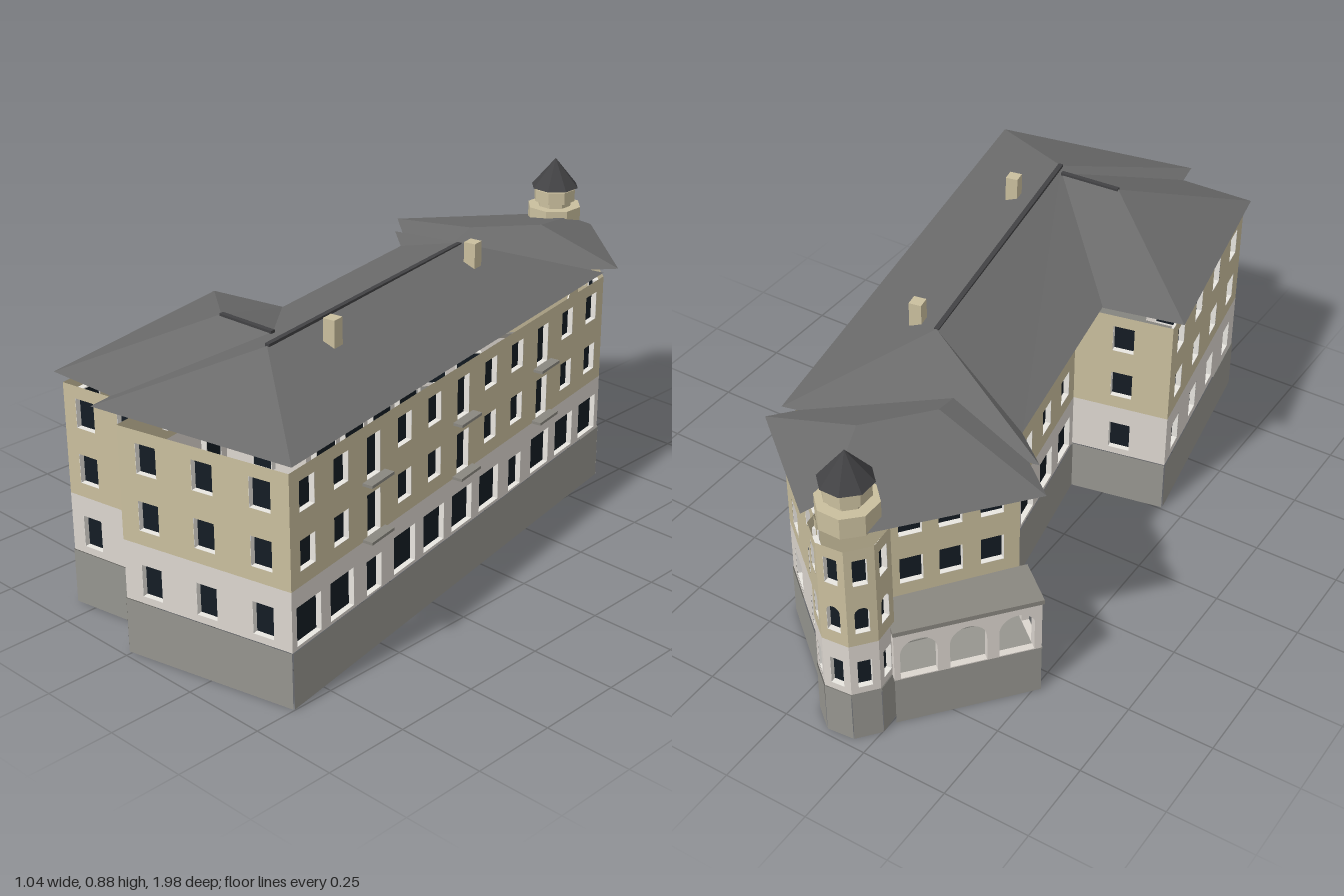
import * as THREE from 'three';

const mat = (color) => new THREE.MeshStandardMaterial({ color, side: THREE.DoubleSide, flatShading: true });
const M = {
  base: mat(0x96958f), ground: mat(0xdcd6cf), upper: mat(0xcabf9e), roof: mat(0x6b6b6b),
  spire: mat(0x424244), glass: mat(0x141c24), frame: mat(0xe9e6e0), slab: mat(0x8a8780),
};

function add(parent, name, geo, material, x = 0, y = 0, z = 0) {
  const m = new THREE.Mesh(geo, material);
  m.name = name;
  m.position.set(x, y, z);
  parent.add(m);
  return m;
}

// Outline of a rectangular or round-headed opening
function outline(C, { x, y0, y1, w, arch }, grow = 0) {
  const p = new C(), h = w / 2 + grow, b = y0 - grow;
  p.moveTo(x - h, b);
  p.lineTo(x + h, b);
  if (arch) p.absarc(x, y1 - w / 2, h, 0, Math.PI, false);
  else { p.lineTo(x + h, y1 + grow); p.lineTo(x - h, y1 + grow); }
  p.closePath();
  return p;
}

// Flat wall band of given length with openings cut out
function band(parent, name, len, y0, y1, material, openings = []) {
  const s = new THREE.Shape();
  s.moveTo(0, y0); s.lineTo(len, y0); s.lineTo(len, y1); s.lineTo(0, y1); s.closePath();
  openings.forEach((o) => s.holes.push(outline(THREE.Path, o)));
  return add(parent, name, new THREE.ShapeGeometry(s, 10), material);
}

// Recessed pane with a pale reveal around it
function windowUnit(parent, o) {
  const ring = outline(THREE.Shape, o, 0.003);
  ring.holes.push(outline(THREE.Path, o));
  add(parent, 'windowReveal', new THREE.ExtrudeGeometry(ring, { depth: 0.019, bevelEnabled: false, curveSegments: 8 }), M.frame, 0, 0, -0.02);
  add(parent, 'windowPane', new THREE.ShapeGeometry(outline(THREE.Shape, o), 8), M.glass, 0, 0, -0.017);
}

// Group whose local x runs from a to b and whose local z faces outward
function run(parent, name, a, b) {
  const g = new THREE.Group();
  g.name = name;
  g.position.set(a[0], 0, a[1]);
  g.rotation.y = Math.atan2(-(b[1] - a[1]), b[0] - a[0]);
  parent.add(g);
  return [g, Math.hypot(b[0] - a[0], b[1] - a[1])];
}

// Three-storey wall; bays are fractions of its length
function facade(parent, name, a, b, bays, { w = 0.063, gw = w, gy = [0.18, 0.272], doors = [], balconies = [], arch = false } = {}) {
  const [g, len] = run(parent, name, a, b);
  const ground = [], upper = [];
  bays.forEach((t, i) => {
    const x = t * len, door = doors.includes(i), balcony = balconies.includes(i);
    ground.push(door ? { x, y0: 0.165, y1: 0.265, w: 0.068 } : { x, y0: gy[0], y1: gy[1], w: gw });
    [0.37, 0.53].forEach((y, k) => {
      upper.push({ x, y0: balcony ? y - 0.033 : y, y1: y + 0.084, w: balcony ? 0.06 : w, arch: arch && k === 0 });
      if (balcony) add(g, 'balcony', new THREE.BoxGeometry(0.1, 0.008, 0.03), M.slab, x, y - 0.037, 0.014);
    });
  });
  band(g, 'plinth', len, 0, 0.16, M.base).position.z = 0.003;
  band(g, 'groundFloorWall', len, 0.16, 0.33, M.ground, ground);
  band(g, 'upperWall', len, 0.33, 0.65, M.upper, upper);
  [...ground, ...upper].forEach((o) => windowUnit(g, o));
}

// Sloped faces, each a fan of [x, y, z] corners
function slopes(parent, name, polys) {
  const v = [];
  polys.forEach((p) => {
    for (let i = 1; i < p.length - 1; i++) v.push(...p[0], ...p[i], ...p[i + 1]);
  });
  const geo = new THREE.BufferGeometry();
  geo.setAttribute('position', new THREE.Float32BufferAttribute(v, 3));
  geo.computeVertexNormals();
  add(parent, name, geo, M.roof);
}

const even = (n) => Array.from({ length: n }, (_, i) => (i + 0.5) / n);
// Coordinates of the turned rear wing: d along it, n outward to the rear left
const wing = (d, n) => [0.64 * d - 0.77 * n, -0.77 * d - 0.64 * n];
const wing3 = (d, n, y) => { const [x, z] = wing(d, n); return [x, y, z]; };

export function createModel() {
  const root = new THREE.Group();
  root.name = 'building';

  // Outer walls, walked around the footprint
  const P = [[0.495, 0.872], [0.215, -0.67], [-0.074, -0.913], [-0.4, -0.489], [-0.254, -0.365],
    [-0.15, 0.205], [-0.43, 0.26], [-0.315, 0.91], [-0.032, 0.865], [-0.01, 0.979]];
  const walls = [
    ['longWall', even(11), { gw: 0.103, gy: [0.168, 0.278], doors: [2, 7], balconies: [2, 5, 8] }],
    ['rearWingEndWall', [0.235, 0.74], { gw: 0.08 }],
    ['rearWingOuterWall', [0.45, 0.65, 0.86], { gw: 0.075 }],
    ['rearWingInnerWall', [0.5], {}],
    ['courtWall', even(4), { gw: 0.095, gy: [0.168, 0.278] }],
    ['sideWingBackWall', [0.5], {}],
    ['sideWingWall', even(4), {}],
    ['sideWingFrontWall', even(2), {}],
    ['stepWall', [], {}],
    ['frontWall', even(3), {}],
  ];
  walls.forEach(([name, bays, opt], i) => facade(root, name, P[i], P[(i + 1) % P.length], bays, opt));

  // Main hipped roof
  const e = 0.68, r1 = [0.155, 0.8, 0.62], r0 = [0, 0.805, -0.27];
  const se = [0.52, e, 0.885], ne = [0.245, e, -0.63], nw = [-0.445, e, -0.47], w1 = [-0.34, e, -0.385], sw = [-0.09, e, 0.995];
  slopes(root, 'mainRoof', [[se, ne, r0, r1], [ne, nw, r0], [nw, w1, r0], [w1, sw, r1, r0], [sw, se, r1]]);

  // Side wing roof
  const a = [-0.065, 0.813, 0.577], b = [0.12, 0.813, 0.567];
  const bl = [-0.465, e, 0.255], fl = [-0.33, e, 0.925], fr = [-0.1, e, 0.92], br = [-0.235, e, 0.205];
  slopes(root, 'sideWingRoof', [[bl, fl, a], [fl, fr, b, a], [br, bl, a, b]]);

  // Rear wing roof, cut back around the tower
  const rs = wing3(0.279, 0.44, 0.755), rn = wing3(0.495, 0.44, 0.755), q = wing3(0.618, 0.64, 0.708);
  const W = wing3(0.098, 0.758, e), S = wing3(0.098, 0.242, e), E = wing3(0.69, 0.242, e);
  slopes(root, 'rearWingRoof', [[W, wing3(0.56, 0.758, e), q, rn, rs], [rn, q, wing3(0.69, 0.64, e), E],
    [E, S, rs, rn], [S, W, rs]]);

  // Ridge caps
  [[r0, r1], [a, b]].forEach(([p, s]) => {
    const [g, len] = run(root, 'ridge', [p[0], p[2]], [s[0], s[2]]);
    add(g, 'ridgeCap', new THREE.BoxGeometry(len, 0.008, 0.014), M.spire, len / 2, (p[1] + s[1]) / 2, 0);
  });

  // Chimneys
  [[0.085, -0.232], [0.207, 0.44]].forEach(([x, z]) => {
    add(root, 'chimney', new THREE.BoxGeometry(0.036, 0.1, 0.036), M.upper, x, 0.79, z).rotation.y = 0.18;
  });

  // Octagonal corner tower
  const tower = new THREE.Group();
  tower.name = 'tower';
  tower.position.set(-0.152, 0, -0.882);
  root.add(tower);
  const R = 0.102, turn = 0.69 + Math.PI / 8;
  const corner = (i) => { const t = turn - (i * Math.PI) / 4; return [R * Math.cos(t), R * Math.sin(t)]; };
  for (let i = 0; i < 8; i++) {
    const c = corner(i), d = corner(i + 1);
    const mx = (c[0] + d[0]) / 2, mz = (c[1] + d[1]) / 2;
    // only the sides that stand clear of the wing
    if (-0.13 * mx - 0.99 * mz > -0.045) facade(tower, 'towerSide', c, d, [0.5], { w: 0.038, arch: true });
  }
  const drum = (name, r0_, r1_, y0, y1, m) =>
    (add(tower, name, new THREE.CylinderGeometry(r1_, r0_, y1 - y0, 8), m, 0, (y0 + y1) / 2, 0).rotation.y = Math.PI / 8);
  drum('towerDrum', 0.084, 0.084, 0.675, 0.737, M.upper);
  drum('towerNeck', 0.052, 0.052, 0.73, 0.8, M.upper);
  drum('towerLantern', 0.065, 0.065, 0.754, 0.791, M.upper);
  drum('towerSpire', 0.074, 0.001, 0.797, 0.885, M.spire);

  // Arcaded porch against the rear wing
  const A = wing(0.102, 0.755), B = wing(0.5, 0.755), C = wing(0.102, 0.62);
  [['porchFront', B, A, 3], ['porchEnd', A, C, 1]].forEach(([name, s, t, n]) => {
    const [g, len] = run(root, name, s, t);
    const arches = even(n).map((u) => ({ x: u * len, y0: 0.158, y1: 0.29, w: n === 1 ? 0.08 : 0.1, arch: true }));
    band(g, 'porchPlinth', len, 0, 0.155, M.base);
    const shape = new THREE.Shape([[0, 0.155], [len, 0.155], [len, 0.318], [0, 0.318]].map((p) => new THREE.Vector2(...p)));
    arches.forEach((o) => shape.holes.push(outline(THREE.Path, o)));
    add(g, 'porchArcade', new THREE.ExtrudeGeometry(shape, { depth: 0.02, bevelEnabled: false, curveSegments: 10 }), M.ground, 0, 0, -0.02);
  });
  const [deck, deckLen] = run(root, 'porchDecks', wing(0.5, 0.69), wing(0.1, 0.69));
  add(deck, 'porchFloor', new THREE.BoxGeometry(deckLen, 0.006, 0.13), M.base, deckLen / 2, 0.153, 0);
  add(deck, 'porchRoof', new THREE.BoxGeometry(deckLen + 0.004, 0.014, 0.142), M.slab, deckLen / 2, 0.323, 0);

  return root;
}
